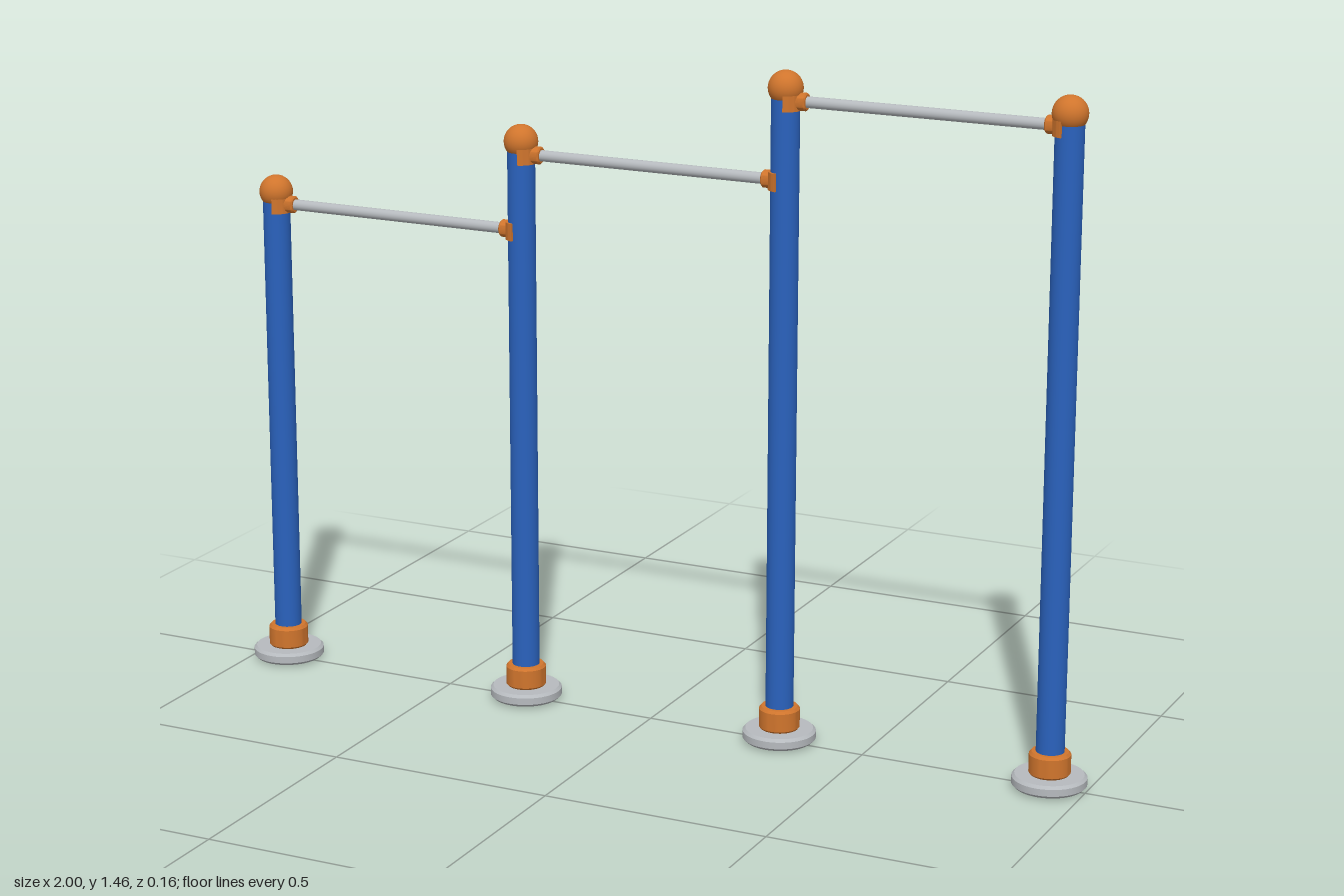
import * as THREE from 'three';
import { toCreasedNormals } from 'three/addons/utils/BufferGeometryUtils.js';

const mat = (name, color) => {
  const m = new THREE.MeshStandardMaterial({ color });
  m.name = name;
  return m;
};

// Turned part from [radius, height] points, with crisp edges
const turned = (points) => toCreasedNormals(
  new THREE.LatheGeometry(points.map(([r, y]) => new THREE.Vector2(r, y)), 40), 0.6);

// Curved saddle that hugs one side of a post, facing +x
function saddleGeometry() {
  const a = 1.35;
  const shape = new THREE.Shape();
  shape.absarc(0, 0, 0.035, -a, a, false);
  shape.absarc(0, 0, 0.028, a, -a, true);
  const geo = new THREE.ExtrudeGeometry(shape, { depth: 0.038, bevelEnabled: false, curveSegments: 20 });
  geo.rotateX(-Math.PI / 2).translate(0, -0.019, 0);
  return toCreasedNormals(geo, 0.6);
}

export function createModel() {
  const blue = mat('post blue', 0x2a62bd);
  const orange = mat('fitting orange', 0xd0752d);
  const steel = mat('steel grey', 0xb6babe);

  const model = new THREE.Group();
  model.name = 'pullUpBars';
  const add = (parent, name, geo, material, x = 0, y = 0) => {
    const mesh = new THREE.Mesh(geo, material);
    mesh.name = name;
    mesh.position.set(x, y, 0);
    parent.add(mesh);
    return mesh;
  };

  // Shared parts: foot plate with a small stud below, collar, cap and clamp
  const footGeo = turned([[0, 0], [0.02, 0], [0.02, 0.004], [0.073, 0.004], [0.079, 0.01],
    [0.079, 0.025], [0.073, 0.031], [0, 0.031]]);
  const collarGeo = turned([[0.028, 0.03], [0.04, 0.03], [0.044, 0.035], [0.044, 0.075],
    [0.039, 0.081], [0.028, 0.081]]);
  const capGeo = new THREE.SphereGeometry(0.037, 32, 20);
  const saddleGeo = saddleGeometry();
  const socketGeo = turned([[0, 0.027], [0.019, 0.027], [0.019, 0.046], [0.016, 0.049], [0, 0.049]]);
  socketGeo.rotateZ(-Math.PI / 2);

  // Posts
  const postX = [-0.921, -0.307, 0.307, 0.921];
  const capY = [1.09, 1.258, 1.425, 1.425];
  postX.forEach((x, i) => {
    const post = new THREE.Group();
    post.name = `post${i + 1}`;
    post.position.x = x;
    model.add(post);
    const height = capY[i] - 0.02;
    add(post, 'footPlate', footGeo, steel);
    add(post, 'collar', collarGeo, orange);
    add(post, 'tube', new THREE.CylinderGeometry(0.03, 0.03, height, 32), blue, 0, height / 2 + 0.02);
    add(post, 'ballCap', capGeo, orange, 0, capY[i]);
  });

  // Bars, each held by a clamp at both ends
  [1.064, 1.231, 1.399].forEach((y, i) => {
    const bar = new THREE.Group();
    bar.name = `bar${i + 1}`;
    bar.position.y = y;
    model.add(bar);
    const x0 = postX[i], x1 = postX[i + 1];
    const rod = new THREE.CylinderGeometry(0.012, 0.012, x1 - x0 - 0.08, 20);
    rod.rotateZ(Math.PI / 2);
    add(bar, 'rod', rod, steel, (x0 + x1) / 2);
    [[x0, 0], [x1, Math.PI]].forEach(([x, turn]) => {
      const clamp = new THREE.Group();
      clamp.name = 'clamp';
      clamp.position.x = x;
      clamp.rotation.y = turn;
      bar.add(clamp);
      add(clamp, 'saddle', saddleGeo, orange);
      add(clamp, 'socket', socketGeo, orange);
    });
  });

  return model;
}
